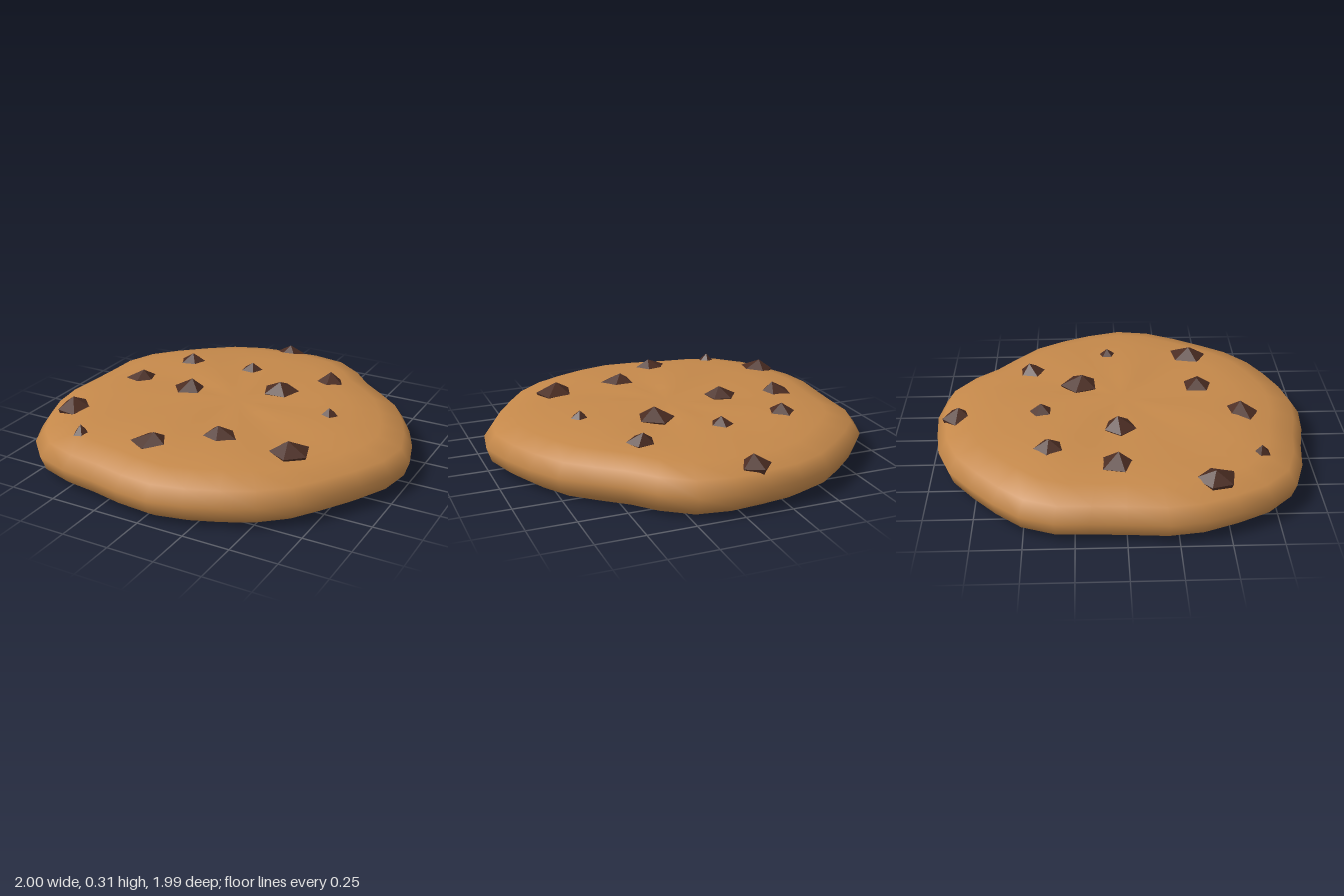
import * as THREE from 'three';
import { mergeVertices } from 'three/addons/utils/BufferGeometryUtils.js';

// Uneven rim of the biscuit, [x, z], running from the back round by the left side
const RIM = [
  [0.04, -1], [0.23, -0.97], [0.39, -0.855], [0.5, -0.73], [0.635, -0.62], [0.77, -0.5], [0.87, -0.34],
  [0.945, -0.175], [1, 0.015], [0.97, 0.2], [0.885, 0.37], [0.785, 0.53], [0.685, 0.675], [0.54, 0.8],
  [0.385, 0.88], [0.22, 0.945], [0.04, 0.985], [-0.145, 0.97], [-0.315, 0.935], [-0.5, 0.91],
  [-0.685, 0.85], [-0.82, 0.715], [-0.905, 0.55], [-0.975, 0.375], [-1, 0.2], [-0.985, 0],
  [-0.975, -0.18], [-0.97, -0.35], [-0.905, -0.52], [-0.79, -0.65], [-0.65, -0.775], [-0.5, -0.89],
  [-0.32, -0.96], [-0.14, -0.985],
];

// Cross-section from the underside centre to the top centre, [scale of rim, y]
const PROFILE = [
  [0, 0], [0.84, 0], [0.91, 0], [0.975, 0.045], [1, 0.12], [0.95, 0.19],
  [0.82, 0.23], [0.65, 0.249], [0.45, 0.255], [0.22, 0.256], [0, 0.256],
];

// Chips: [x, z, radius, tip height]
const CHIPS = [
  [-0.1, -0.87, 0.075, 0.26], [0.335, -0.49, 0.07, 0.298], [-0.135, -0.43, 0.072, 0.295],
  [-0.5, -0.37, 0.08, 0.302], [0.15, -0.22, 0.092, 0.312], [0.52, -0.065, 0.06, 0.29],
  [-0.635, -0.04, 0.075, 0.298], [-0.31, -0.02, 0.075, 0.31], [-0.76, 0.44, 0.092, 0.278],
  [0.14, 0.43, 0.092, 0.3], [0.52, 0.41, 0.092, 0.298], [-0.155, 0.63, 0.095, 0.295],
  [-0.53, 0.695, 0.046, 0.27],
];

function seeded(seed) {
  return () => {
    seed = (seed * 16807) % 2147483647;
    return seed / 2147483647;
  };
}

// Gentle lumps on the upper face, fading out at the rim and the centre
function lump(scale, angle) {
  const fade = Math.sin(Math.PI * scale);
  return fade * (0.005 * Math.sin(3 * angle + 5 * scale) + 0.004 * Math.sin(7 * angle));
}

function doughGeometry() {
  const positions = [];
  const index = [];
  const n = RIM.length;
  PROFILE.forEach(([s, y], j) => {
    RIM.forEach(([x, z], i) => {
      const top = j > 5 ? lump(s, Math.atan2(z, x)) : 0;
      positions.push(x * s, y + top, z * s);
      if (j === PROFILE.length - 1) return;
      const a = j * n + i;
      const b = j * n + ((i + 1) % n);
      if (j > 0) index.push(a, b + n, b);
      if (j < PROFILE.length - 2) index.push(a, a + n, b + n);
      else index.push(a, a + n, b);
      if (j === PROFILE.length - 2) index.splice(-6, 3);
    });
  });
  const geometry = new THREE.BufferGeometry();
  geometry.setAttribute('position', new THREE.Float32BufferAttribute(positions, 3));
  geometry.setIndex(index);
  const welded = mergeVertices(geometry);
  welded.computeVertexNormals();
  return welded;
}

// Five-sided chip with an irregular outline and an off-centre tip
function chipGeometry(radius, random) {
  const height = 0.055;
  const points = [[radius * 0.9, -0.05], [radius * 1.1, 0], [0, height]];
  const geometry = new THREE.LatheGeometry(points.map(([x, y]) => new THREE.Vector2(x, y)), 5);
  const stretch = Array.from({ length: 5 }, () => 0.88 + 0.26 * random());
  const leanX = (random() - 0.5) * radius * 0.5;
  const leanZ = (random() - 0.5) * radius * 0.5;
  const p = geometry.attributes.position;
  for (let k = 0; k < p.count; k++) {
    const side = Math.floor(k / points.length) % 5;
    const tip = p.getY(k) > height / 2 ? 1 : 0;
    p.setX(k, p.getX(k) * stretch[side] + leanX * tip);
    p.setZ(k, p.getZ(k) * stretch[side] + leanZ * tip);
  }
  geometry.computeVertexNormals();
  return geometry;
}

export function createModel() {
  const doughMaterial = new THREE.MeshStandardMaterial({ color: 0xc4884a });
  doughMaterial.name = 'baked dough';
  const chipMaterial = new THREE.MeshStandardMaterial({ color: 0x4a2c22 });
  chipMaterial.name = 'dark chocolate';
  chipMaterial.flatShading = true;

  const group = new THREE.Group();
  group.name = 'cookie';

  const dough = new THREE.Mesh(doughGeometry(), doughMaterial);
  dough.name = 'dough';
  group.add(dough);

  // Chips pressed into the top
  const chips = new THREE.Group();
  chips.name = 'chocolateChips';
  const random = seeded(4711);
  CHIPS.forEach(([x, z, radius, tip], i) => {
    const chip = new THREE.Mesh(chipGeometry(radius, random), chipMaterial);
    chip.name = `chip${i + 1}`;
    chip.position.set(x, tip - 0.055, z);
    chip.rotation.y = random() * Math.PI * 2;
    chips.add(chip);
  });
  group.add(chips);
  return group;
}
